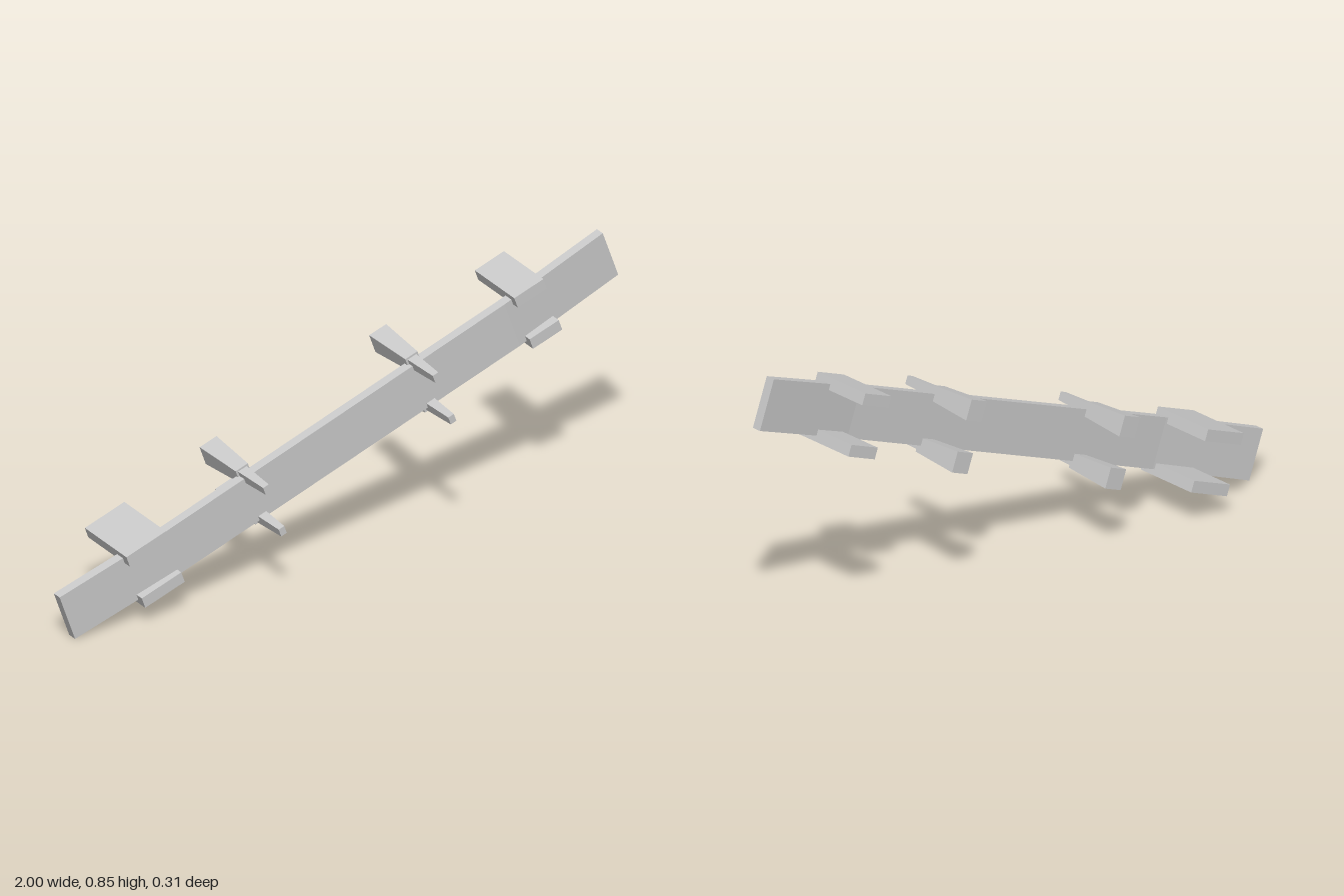
import * as THREE from 'three';

const material = new THREE.MeshStandardMaterial({ color: 0xcccccc, flatShading: true });

// Box between two z planes whose square section changes from back to front
function taperedBar(back, front, zBack, zFront) {
  const geo = new THREE.BoxGeometry(1, 1, 1);
  const p = geo.attributes.position;
  for (let i = 0; i < p.count; i++) {
    const isFront = p.getZ(i) > 0;
    const [w, h] = isFront ? front : back;
    p.setXYZ(i, p.getX(i) * w, p.getY(i) * h, isFront ? zFront : zBack);
  }
  geo.computeVertexNormals();
  return geo;
}

// Long board in three straight lengths, bent slightly backward at both ends
function bentBoard() {
  const geo = new THREE.BoxGeometry(2.065, 0.163, 0.033, 3, 1, 1);
  const stations = [[-1.0325, 0.021], [-0.645, 0.038], [0.645, 0.024], [1.0325, -0.002]];
  const p = geo.attributes.position;
  for (let i = 0; i < p.count; i++) {
    const [x, z] = stations[Math.round((p.getX(i) / 2.065 + 0.5) * 3)];
    p.setX(i, x);
    p.setZ(i, p.getZ(i) + z);
  }
  geo.computeVertexNormals();
  return geo;
}

export function createModel() {
  const model = new THREE.Group();
  model.name = 'boardWithBrackets';

  // Everything sits on one sloping axis
  const slope = new THREE.Group();
  slope.name = 'slopingAssembly';
  slope.position.y = 0.423;
  slope.rotation.z = Math.atan2(0.695, 1.945);
  model.add(slope);

  const add = (name, geo, x = 0, y = 0) => {
    const mesh = new THREE.Mesh(geo, material);
    mesh.name = name;
    mesh.position.set(x, y, 0);
    slope.add(mesh);
  };

  add('board', bentBoard());

  for (const [level, side] of [['upper', 1], ['lower', -1]]) {
    // Flat bracket plates near the ends
    for (const [end, x, width, front] of [['Right', -0.726, 0.149, 0.077], ['Left', 0.726, 0.11, 0.065]]) {
      const section = [width, 0.037];
      add(`${level}${end}Plate`, taperedBar(section, section, -0.157, front), x, side * 0.081);
    }
    // Stepped pegs: thick behind the board, thin in front of it
    for (const [end, x] of [['Right', -0.33], ['Left', 0.31]]) {
      add(`${level}${end}PegBack`, taperedBar([0.064, 0.066], [0.046, 0.046], -0.157, 0.027), x, side * 0.082);
      add(`${level}${end}PegFront`, taperedBar([0.033, 0.034], [0.021, 0.027], 0.02, 0.158), x, side * 0.082);
    }
  }
  return model;
}
